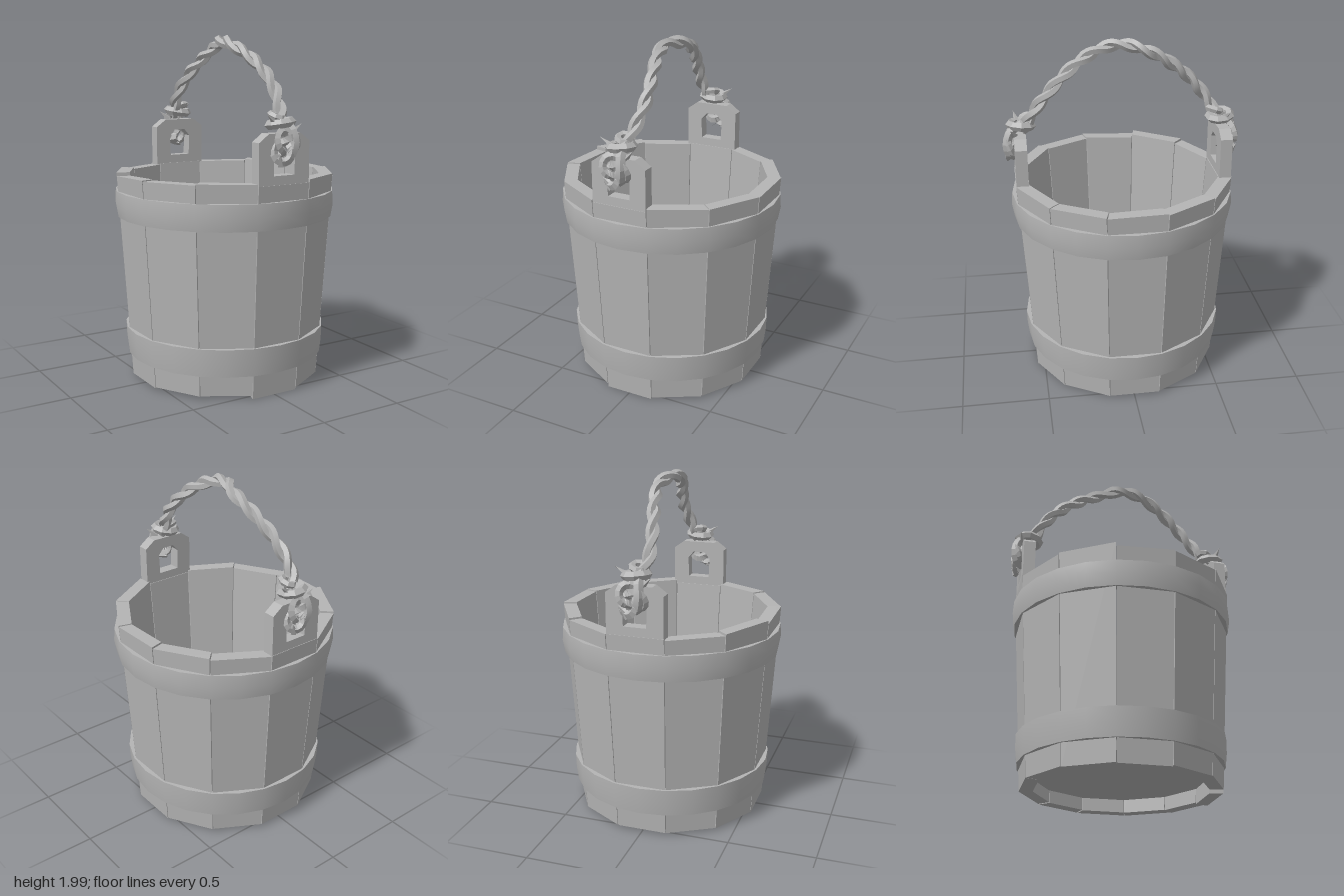
import * as THREE from 'three';
import { toCreasedNormals } from 'three/addons/utils/BufferGeometryUtils.js';

const grey = new THREE.MeshStandardMaterial({ color: 0xb4b4b4 });
grey.name = 'plain grey';

let seed = 7;
const rand = () => (seed = (seed * 16807) % 2147483647) / 2147483647;
const jitter = (a) => (rand() * 2 - 1) * a;

const STAVES = 12, HALF = Math.PI / STAVES, THICK = 0.075;
const outerRadius = (y) => 0.543 + 0.0625 * y; // the wall widens upwards

function add(parent, name, geometry, crease = 0.5) {
  const mesh = new THREE.Mesh(toCreasedNormals(geometry, crease), grey);
  mesh.name = name;
  parent.add(mesh);
  return mesh;
}

// Wedge-sided plank facing +z, tapering with the wall
function staveGeometry(y0, y1, tilt) {
  const g = new THREE.BoxGeometry(2, 1, 2);
  const p = g.attributes.position;
  for (let i = 0; i < p.count; i++) {
    const sx = p.getX(i), top = p.getY(i) > 0, sz = p.getZ(i);
    const y = top ? y1 + sx * tilt : y0;
    const r = outerRadius(y) - (sz < 0 ? THICK : 0);
    p.setXYZ(i, sx * r * Math.tan(HALF) * 0.985, y, r);
  }
  return g;
}

// Tall lug with clipped corners and a rope hole
function lugGeometry() {
  const s = new THREE.Shape([
    [-0.162, 1.19], [0.162, 1.19], [0.162, 1.43], [0.1, 1.475], [-0.1, 1.475], [-0.162, 1.43],
  ].map(([x, y]) => new THREE.Vector2(x, y)));
  s.holes.push(new THREE.Path([
    [-0.065, 1.25], [-0.07, 1.37], [-0.035, 1.41], [0.035, 1.41], [0.07, 1.37], [0.065, 1.25],
  ].map(([x, y]) => new THREE.Vector2(x, y))));
  const g = new THREE.ExtrudeGeometry(s, { depth: 0.068, bevelEnabled: false });
  return g.translate(0, 0, 0.547);
}

// Hoop with a slightly bulged outer face
function hoopGeometry(y0, y1, r0, rMid, r1) {
  const depth = 0.05, mid = (y0 + y1) / 2;
  const profile = [[r0, y0], [rMid, mid], [r1, y1], [r1 - depth, y1], [r0 - depth, y0], [r0, y0]]
    .map(([r, y]) => new THREE.Vector2(r, y));
  const g = new THREE.LatheGeometry(profile, 24);
  return g;
}

// Two strands twisted around a path
function addTwistedRope(parent, name, points, turns, spread, radius, segments) {
  const path = new THREE.CatmullRomCurve3(points.map((p) => new THREE.Vector3(...p)));
  const frames = path.computeFrenetFrames(segments, false);
  for (let k = 0; k < 2; k++) {
    const strand = [];
    for (let i = 0; i <= segments; i++) {
      const a = (i / segments) * turns * Math.PI * 2 + k * Math.PI;
      strand.push(path.getPointAt(i / segments)
        .addScaledVector(frames.normals[i], Math.cos(a) * spread)
        .addScaledVector(frames.binormals[i], Math.sin(a) * spread));
    }
    const curve = new THREE.CatmullRomCurve3(strand);
    add(parent, name, new THREE.TubeGeometry(curve, segments, radius, 5), 0.3);
  }
}

// Rope wrapped over the lug, with a rough knot on its outer side
function makeKnot() {
  const knot = new THREE.Group();
  knot.name = 'ropeKnot';

  const lump = add(knot, 'knotLump', new THREE.TorusKnotGeometry(0.054, 0.023, 44, 4, 2, 3), 0.2);
  lump.scale.set(0.95, 1.05, 0.75);
  lump.position.set(-0.01, 1.405, 0.635);

  const collar = add(knot, 'knotCollar', new THREE.TorusGeometry(0.062, 0.026, 5, 9), 0.2);
  collar.rotation.set(Math.PI / 2 - 0.1, 0.12, 0);
  collar.position.set(0, 1.525, 0.572);

  const upperCollar = add(knot, 'knotCollar', new THREE.TorusGeometry(0.036, 0.02, 5, 8), 0.2);
  upperCollar.rotation.set(Math.PI / 2 + 0.3, -0.2, 0);
  upperCollar.position.set(0, 1.56, 0.54);

  // Cord from the collar, down the outside and in through the hole
  const loop = new THREE.CatmullRomCurve3([
    [0.02, 1.54, 0.56], [0.03, 1.5, 0.63], [0.04, 1.42, 0.655], [0.02, 1.35, 0.63], [0, 1.36, 0.56],
  ].map((p) => new THREE.Vector3(...p)));
  add(knot, 'knotLoop', new THREE.TubeGeometry(loop, 10, 0.027, 5), 0.2);

  // Frayed ends
  [[-0.075, 1.55, 0.6, 0.9], [0.07, 1.5, 0.62, -0.8], [-0.05, 1.34, 0.65, 0.4]].forEach(([x, y, z, tilt]) => {
    const end = add(knot, 'frayedEnd', new THREE.ConeGeometry(0.02, 0.08, 4), 0.2);
    end.position.set(x, y, z);
    end.rotation.set(0.4, 0, tilt);
  });
  return knot;
}

export function createModel() {
  const bucket = new THREE.Group();
  bucket.name = 'bucket';

  // Wall
  for (let i = 0; i < STAVES; i++) {
    const hasLug = i % (STAVES / 2) === 0;
    const y0 = i === 0 ? 0 : 0.01 + rand() * 0.012;
    const y1 = hasLug ? 1.2 : 1.205 + jitter(0.01);
    const stave = add(bucket, 'stave', staveGeometry(y0, y1, hasLug ? 0 : jitter(0.008)));
    stave.rotation.y = i * 2 * HALF;
  }

  // Floor, recessed above the foot of the wall
  const floor = add(bucket, 'floor', new THREE.CylinderGeometry(0.52, 0.52, 0.05, STAVES, 1, false, HALF));
  floor.position.y = 0.115;

  // Hoops
  add(bucket, 'lowerHoop', hoopGeometry(0.14, 0.3, 0.58, 0.59, 0.592));
  add(bucket, 'upperHoop', hoopGeometry(0.96, 1.11, 0.632, 0.645, 0.64));

  // Lugs and knots at front and back
  [0, Math.PI].forEach((turn) => {
    const side = new THREE.Group();
    side.name = turn ? 'backLug' : 'frontLug';
    add(side, 'lug', lugGeometry());
    side.add(makeKnot());
    side.rotation.y = turn;
    bucket.add(side);
  });

  // Rope handle, wandering a little from side to side
  addTwistedRope(bucket, 'ropeHandle', [
    [0.01, 1.5, 0.56], [0.04, 1.6, 0.51], [0.055, 1.74, 0.4], [0.02, 1.87, 0.25], [-0.015, 1.935, 0.12],
    [-0.015, 1.96, 0], [0.03, 1.935, -0.13], [0.01, 1.86, -0.26], [-0.03, 1.74, -0.4],
    [-0.045, 1.6, -0.51], [-0.01, 1.5, -0.56],
  ], 6, 0.017, 0.023, 72);

  return bucket;
}
